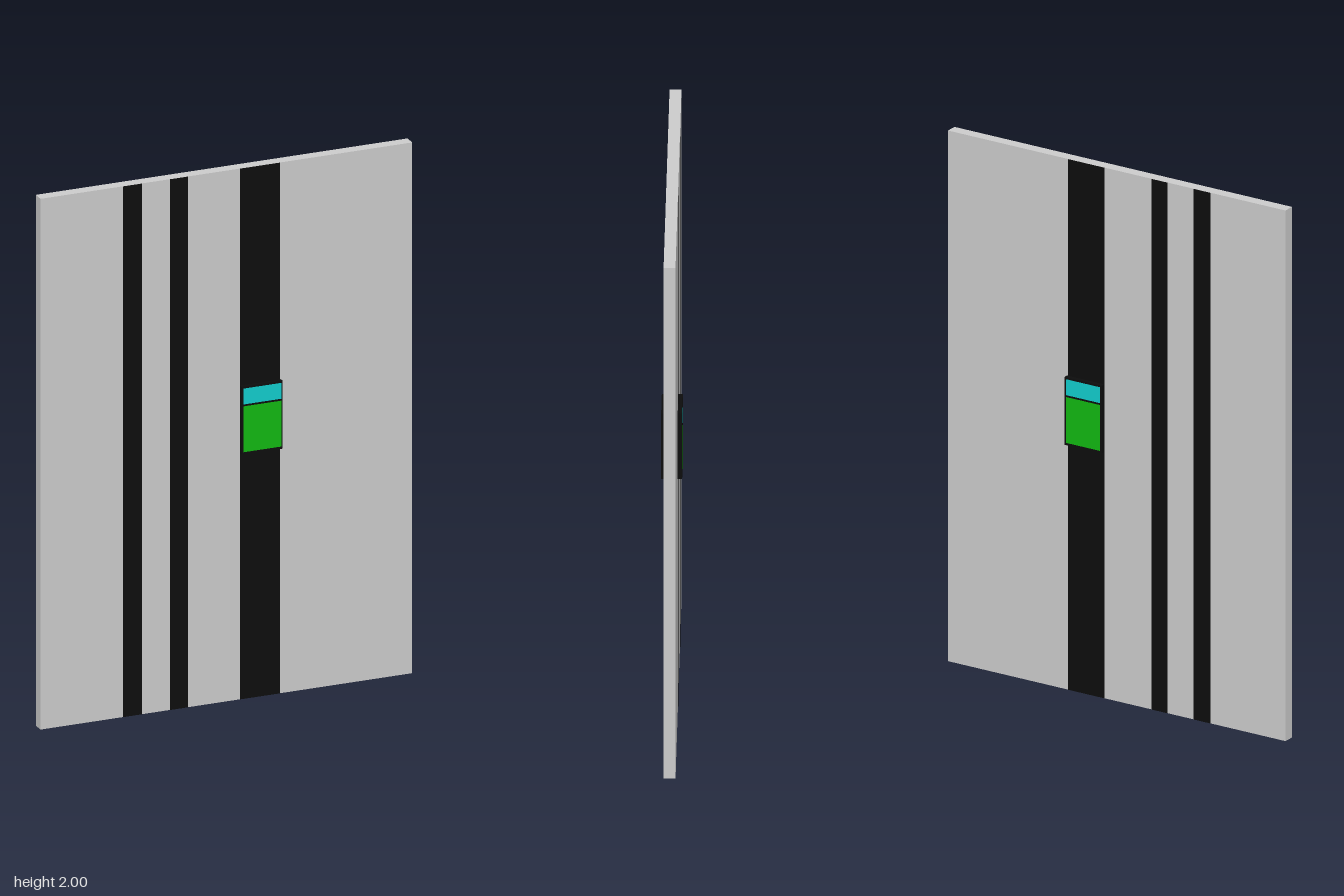
import * as THREE from 'three';

const PANEL_Z = 0.021, CASE_Z = 0.037;

export function createModel() {
  const model = new THREE.Group();
  const material = (color) => new THREE.MeshStandardMaterial({ color });
  const grey = material(0xcccccc), black = material(0x0d0d0d);
  const green = material(0x12b812), cyan = material(0x12cccc);

  // Box given by its x and y limits and half depth
  function slab(name, x0, x1, y0, y1, halfDepth, mat) {
    const mesh = new THREE.Mesh(new THREE.BoxGeometry(x1 - x0, y1 - y0, halfDepth * 2), mat);
    mesh.position.set((x0 + x1) / 2, (y0 + y1) / 2, 0);
    mesh.name = name;
    model.add(mesh);
  }

  // Matching flat rectangles on the front and back faces
  function inlay(name, x0, x1, y0, y1, z, mat) {
    const pair = new THREE.Group();
    pair.name = name;
    for (const side of [1, -1]) {
      const mesh = new THREE.Mesh(new THREE.PlaneGeometry(x1 - x0, y1 - y0), mat);
      mesh.position.set((x0 + x1) / 2, (y0 + y1) / 2, side * (z + 0.001));
      if (side < 0) mesh.rotation.y = Math.PI;
      mesh.name = name + (side > 0 ? 'Front' : 'Back');
      pair.add(mesh);
    }
    model.add(pair);
  }

  // Upright panel
  slab('panel', -0.707, 0.707, 0, 2, PANEL_Z, grey);

  // Full-height dark stripes
  inlay('outerStripe', -0.394, -0.322, 0, 2, PANEL_Z, black);
  inlay('middleStripe', -0.214, -0.146, 0, 2, PANEL_Z, black);
  inlay('wideStripe', 0.051, 0.204, 0, 2, PANEL_Z, black);

  // Lock case standing out on both faces, with its coloured plates
  slab('lockCase', 0.052, 0.208, 0.927, 1.183, CASE_Z, black);
  inlay('greenPlate', 0.058, 0.202, 0.936, 1.109, CASE_Z, green);
  inlay('cyanPlate', 0.058, 0.202, 1.116, 1.176, CASE_Z, cyan);

  return model;
}
